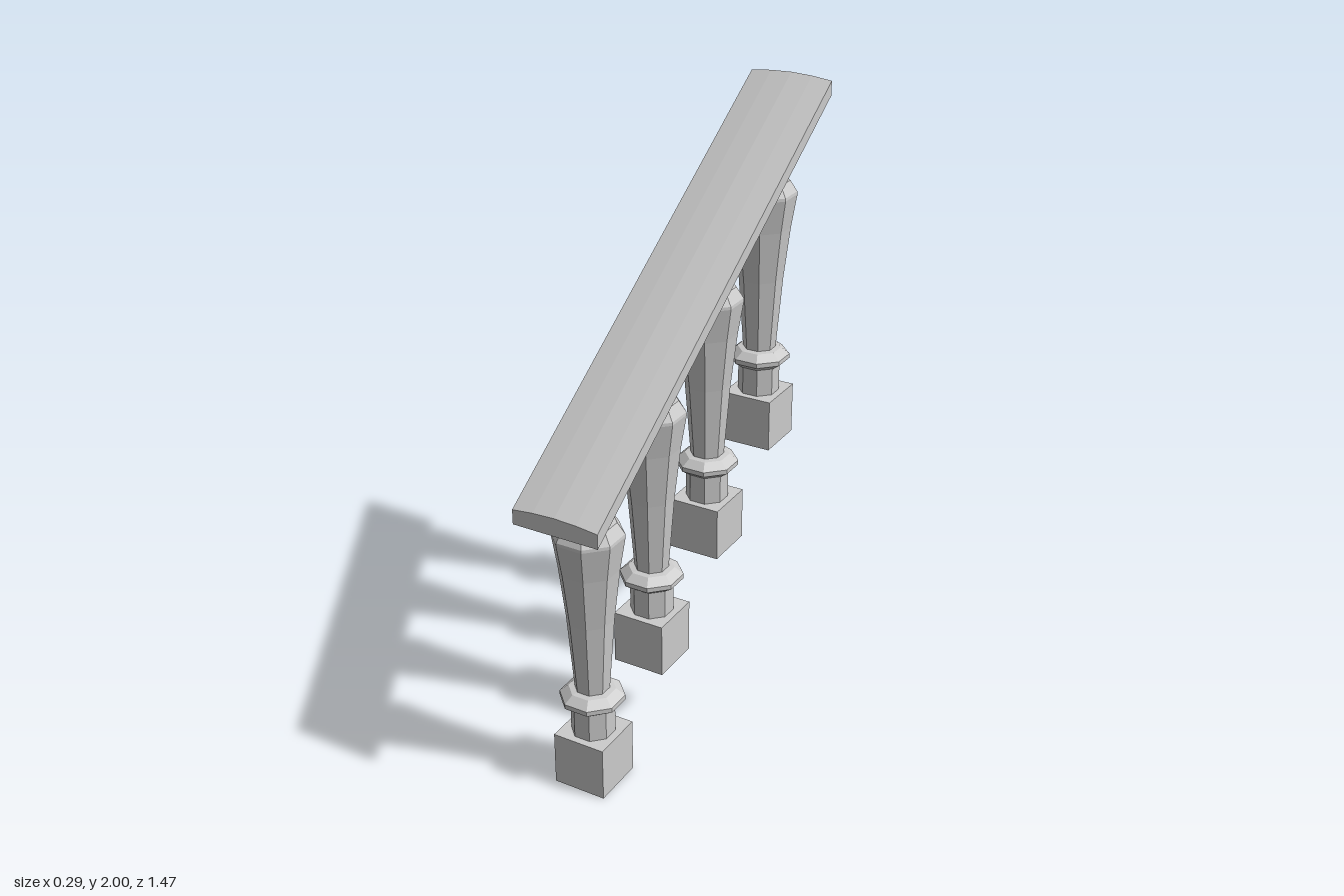
import * as THREE from 'three';

const material = new THREE.MeshStandardMaterial({ color: 0xcccccc, flatShading: true });

function add(parent, name, geometry) {
  const mesh = new THREE.Mesh(geometry, material);
  mesh.name = name;
  parent.add(mesh);
  return mesh;
}

// Eight-sided turned part; profile radii are measured across the given side
function turned(profile, phase = Math.PI / 8) {
  const k = phase ? 1 / Math.cos(Math.PI / 8) : 1;
  const points = profile.map(([r, y]) => new THREE.Vector2(r * k, y));
  return new THREE.LatheGeometry(points, 8, phase);
}

function createBaluster() {
  const baluster = new THREE.Group();
  add(baluster, 'baseBlock', new THREE.BoxGeometry(0.18, 0.183, 0.18)).position.y = 0.0915;
  add(baluster, 'foot', turned([[0.066, 0.18], [0.066, 0.29]]));
  add(baluster, 'lowerRing', turned([
    [0.05, 0.28], [0.07, 0.283], [0.097, 0.304], [0.097, 0.32], [0.07, 0.343], [0.045, 0.347],
  ]));
  add(baluster, 'shaft', turned([
    [0.051, 0.33], [0.07, 0.6], [0.089, 0.78], [0.106, 0.895], [0.105, 0.905], [0.083, 0.942], [0, 0.95],
  ]));
  add(baluster, 'neckRing', turned([
    [0.05, 0.94], [0.055, 0.95], [0.068, 0.96], [0.055, 0.969], [0.048, 0.975],
  ]));
  add(baluster, 'ball', turned([
    [0, 0.968], [0.045, 0.974], [0.067, 0.999], [0.076, 1.03], [0.067, 1.061], [0.04, 1.084], [0, 1.09],
  ], 0));
  return baluster;
}

// Sloping rail with a slightly crowned top and vertical ends
function createRail() {
  const depth = 1.465, slope = 0.966 / depth;
  const section = new THREE.Shape([
    [-0.147, 0.974], [0.147, 0.974], [0.147, 1.023], [0.075, 1.031],
    [0, 1.034], [-0.075, 1.031], [-0.147, 1.023],
  ].map(([x, y]) => new THREE.Vector2(x, y)));
  const geometry = new THREE.ExtrudeGeometry(section, { depth, bevelEnabled: false });
  const p = geometry.attributes.position;
  for (let i = 0; i < p.count; i++) p.setY(i, p.getY(i) + (depth - p.getZ(i)) * slope);
  geometry.translate(0, 0, -depth / 2);
  geometry.computeVertexNormals();
  return geometry;
}

export function createModel() {
  const model = new THREE.Group();
  model.name = 'stairBalustrade';
  add(model, 'handrail', createRail());
  // Four balusters climbing towards the back
  for (let i = 0; i < 4; i++) {
    const baluster = createBaluster();
    baluster.name = `baluster${i + 1}`;
    baluster.position.set(0, i * 0.248, 0.56 - i * 0.368);
    model.add(baluster);
  }
  return model;
}
